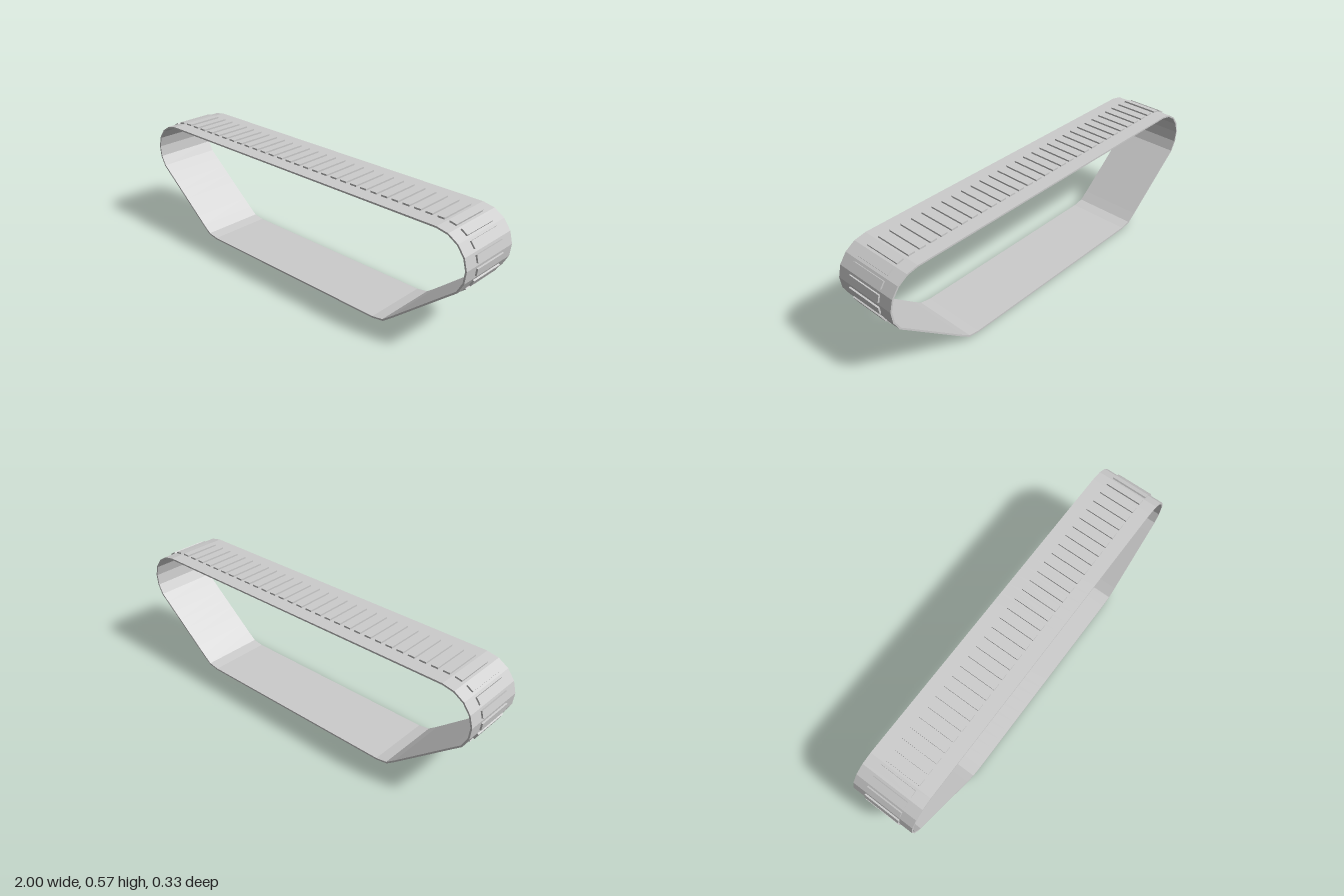
import * as THREE from 'three';

const WIDTH = 0.327, THICKNESS = 0.008, PAD_RISE = 0.008;

// Right half of the belt outline, from bottom run up around the end wheel
function halfOutline() {
  const pts = [[0.54, 0.008], [0.598, 0.018]];
  for (let i = 0; i < 7; i++) {
    const t = i / 7;
    pts.push([0.645 + 0.312 * t, 0.054 + 0.257 * t]);
  }
  for (let i = 0; i <= 6; i++) {
    const a = THREE.MathUtils.degToRad(-38.6 + (128.6 * i) / 6);
    pts.push([0.837 + 0.155 * Math.cos(a), 0.408 + 0.155 * Math.sin(a)]);
  }
  return pts.map(([x, y]) => new THREE.Vector2(x, y));
}

// Points strictly between a and b, making n equal links
function between(a, b, n) {
  return Array.from({ length: n - 1 }, (_, i) => a.clone().lerp(b, (i + 1) / n));
}

// Mitred inward offset of a counter-clockwise loop
function inset(loop, d) {
  const n = loop.length;
  const normal = (a, b) => new THREE.Vector2(a.y - b.y, b.x - a.x).normalize();
  return loop.map((p, i) => {
    const n1 = normal(loop[(i + n - 1) % n], p);
    const n2 = normal(p, loop[(i + 1) % n]);
    return n1.clone().add(n2).multiplyScalar(d / (1 + n1.dot(n2))).add(p);
  });
}

export function createModel() {
  const group = new THREE.Group();
  group.name = 'continuousTrack';
  const material = new THREE.MeshStandardMaterial({ color: 0xcccccc, flatShading: true });

  // Closed loop of link joints, counter-clockwise from the front
  const right = halfOutline();
  const left = right.map((p) => new THREE.Vector2(-p.x, p.y)).reverse();
  const loop = [
    ...right,
    ...between(right[right.length - 1], left[0], 29),
    ...left,
    ...between(left[left.length - 1], right[0], 19),
  ];

  // Thin belt
  const shape = new THREE.Shape(loop);
  shape.holes.push(new THREE.Path(inset(loop, THICKNESS)));
  const beltGeometry = new THREE.ExtrudeGeometry(shape, { depth: WIDTH, bevelEnabled: false });
  beltGeometry.translate(0, 0, -WIDTH / 2);
  const belt = new THREE.Mesh(beltGeometry, material);
  belt.name = 'belt';
  group.add(belt);

  // One raised tread pad in the middle of every link
  const pads = new THREE.Group();
  pads.name = 'treadPads';
  const padHeight = PAD_RISE + 0.004;
  const padGeometry = new THREE.BoxGeometry(0.034, padHeight, 0.188);
  loop.forEach((a, i) => {
    const b = loop[(i + 1) % loop.length];
    const dir = b.clone().sub(a).normalize();
    const out = PAD_RISE - padHeight / 2;
    const pad = new THREE.Mesh(padGeometry, material);
    pad.name = 'treadPad';
    pad.position.set((a.x + b.x) / 2 + dir.y * out, (a.y + b.y) / 2 - dir.x * out, 0);
    pad.rotation.z = Math.atan2(dir.y, dir.x);
    pads.add(pad);
  });
  group.add(pads);
  return group;
}
